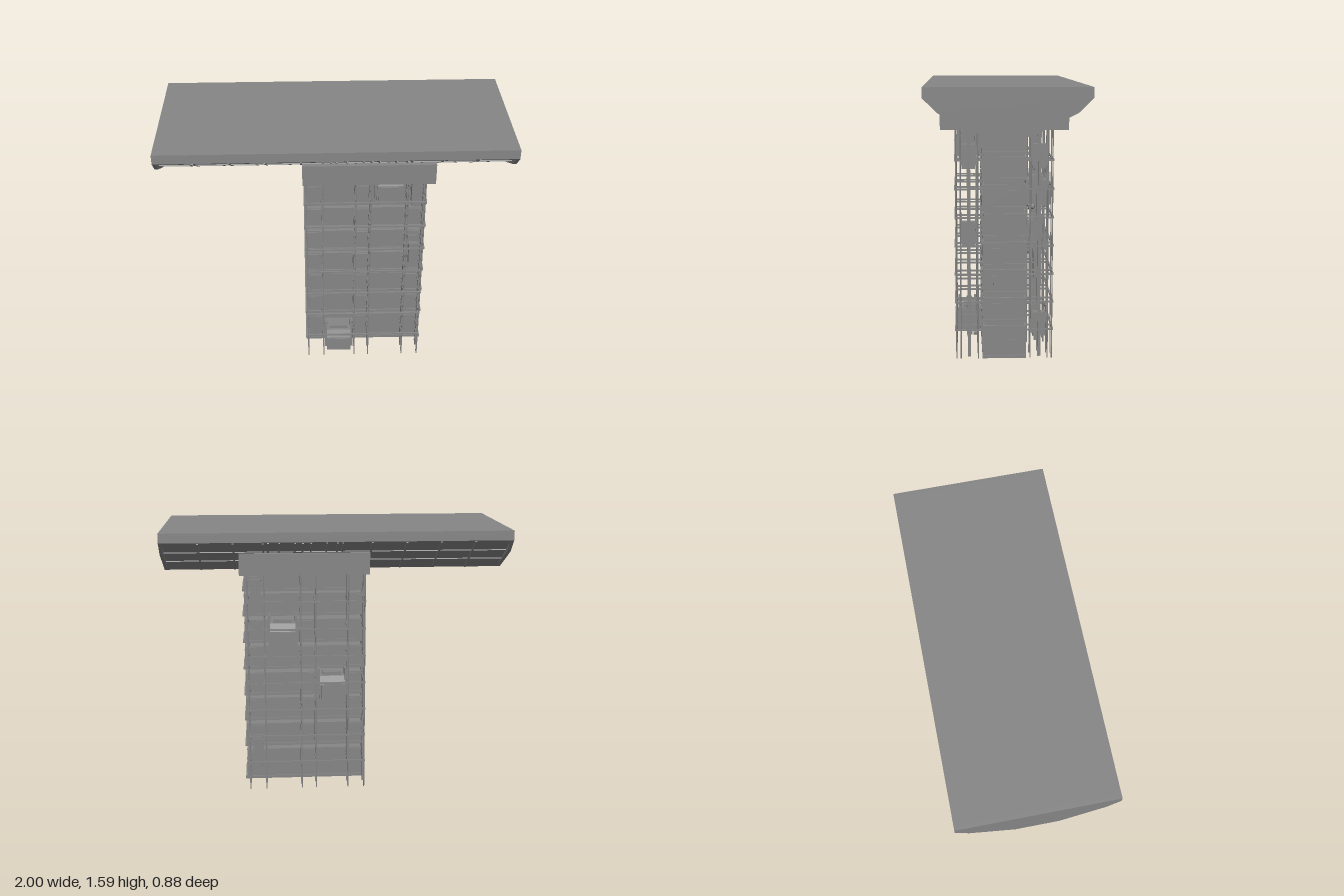
import * as THREE from 'three';

const mat = new THREE.MeshStandardMaterial({ color: 0x868686, flatShading: true });

function add(parent, name, geo, x = 0, y = 0, z = 0) {
  const m = new THREE.Mesh(geo, mat);
  m.name = name;
  m.position.set(x, y, z);
  parent.add(m);
  return m;
}

// Box given by its limits on each axis
function box(parent, name, x0, x1, y0, y1, z0, z1) {
  return add(parent, name, new THREE.BoxGeometry(x1 - x0, y1 - y0, Math.abs(z1 - z0)),
    (x0 + x1) / 2, (y0 + y1) / 2, (z0 + z1) / 2);
}

// Extrude a (z, y) profile along x
function extrudeX(parent, name, pts, x0, x1) {
  const shape = new THREE.Shape(pts.map(([z, y]) => new THREE.Vector2(-z, y)));
  const geo = new THREE.ExtrudeGeometry(shape, { depth: x1 - x0, bevelEnabled: false });
  geo.rotateY(Math.PI / 2);
  return add(parent, name, geo, x0, 0, 0);
}

// Strip laid on the sloping underside between two (z, y) points
function slopeStrip(parent, name, x0, x1, a, b) {
  const dz = b[0] - a[0], dy = b[1] - a[1];
  const m = add(parent, name, new THREE.BoxGeometry(x1 - x0, 0.012, Math.hypot(dz, dy)),
    (x0 + x1) / 2, (a[1] + b[1]) / 2, (a[0] + b[0]) / 2);
  m.rotation.x = -Math.atan2(dy, dz);
}

const mirrored = (half) => [...half, ...half.map(([z, y]) => [-z, y]).reverse()];

function buildDeck() {
  const g = new THREE.Group();
  g.name = 'deck';
  // slab with straight sloping undersides, closed by deeper end plates
  extrudeX(g, 'deckSlab', mirrored([[0.12, 1.33], [0.44, 1.53], [0.44, 1.585]]), -0.98, 0.98);
  const cap = mirrored([[0.12, 1.33], [0.365, 1.455], [0.44, 1.53], [0.44, 1.585]]);
  extrudeX(g, 'endPlate', cap, -1, -0.98);
  extrudeX(g, 'endPlate', cap, 0.98, 1);
  box(g, 'capital', -0.19, 0.56, 1.33, 1.455, -0.36, 0.36);
  for (const s of [1, -1]) {
    const at = (t) => [s * (0.12 + 0.32 * t), 1.33 + 0.2 * t];
    // ribs down the slopes
    for (let i = 1; i < 10; i++) {
      const x = -0.98 + i * 0.196;
      slopeStrip(g, 'rib', x - 0.005, x + 0.005, at(0.02), at(0.98));
    }
    for (let x = -0.03; x < 0.5; x += 0.09)
      slopeStrip(g, 'shortRib', x - 0.004, x + 0.004, at(0.66), at(0.98));
    // stringers along the slopes
    for (const t of [0.34, 0.66])
      slopeStrip(g, 'stringer', -0.98, 0.98, at(t - 0.013), at(t + 0.013));
  }
  return g;
}

function buildTower() {
  const g = new THREE.Group();
  g.name = 'tower';
  const floors = [[0.015, 0.2], [0.23, 0.365], [0.395, 0.53], [0.555, 0.69],
    [0.72, 0.855], [0.885, 1.02], [1.05, 1.18], [1.2, 1.33]];
  for (const [y0, y1] of floors) {
    box(g, 'storey', -0.18, 0.54, y0, y1, -0.117, 0.117);
    box(g, 'floorPlate', -0.188, 0.55, y0 - 0.006, y0 + 0.01, -0.126, 0.126);
    for (const s of [1, -1]) {
      // raised door frames on the long walls
      for (const [a, b] of [[-0.175, -0.08], [0.115, 0.205], [0.425, 0.53]]) {
        for (const x of [a, b]) box(g, 'frameJamb', x - 0.005, x + 0.005, y0, y1, s * 0.115, s * 0.126);
        box(g, 'frameHead', a, b, y1 - 0.016, y1 - 0.006, s * 0.115, s * 0.126);
      }
    }
    // handles and seams on the end walls
    for (const x of [0.54, -0.18]) {
      const strip = (name, a, b, z0, z1) => box(g, name, x - 0.003, x + 0.003, y0 + a, y0 + b, z0, z1);
      strip('endHandle', 0.048, 0.052, -0.022, 0.022);
      strip('endSeam', 0.03, 0.072, -0.002, 0.002);
      for (const s of [1, -1]) {
        strip('endHinge', 0.043, 0.057, s * 0.058, s * 0.061);
        strip('endRail', 0.098, 0.101, s * 0.02, s * 0.07);
      }
    }
  }
  // recessed end walls joining the storeys
  for (const x of [-0.17, 0.522]) box(g, 'endWall', x - 0.004, x + 0.004, 0.02, 1.33, -0.115, 0.115);
  return g;
}

// Guide frame on one long side; s is the side's sign in z
function buildShafts(s) {
  const g = new THREE.Group();
  g.name = s > 0 ? 'frontShafts' : 'backShafts';
  const xs = [-0.172, -0.075, 0.118, 0.205, 0.42, 0.518];
  const cable = new THREE.CylinderGeometry(0.0035, 0.0035, 1.33, 6);
  for (const x of xs) {
    for (const z of [0.15, 0.25, 0.275]) add(g, 'cable', cable, x, 0.665, s * z);
    box(g, 'guideRail', x - 0.006, x + 0.006, 0.012, 1.33, s * 0.192, s * 0.21);
  }
  for (let i = 0; i < 7; i++) {
    const y = 0.17 + i * 0.1645;
    box(g, 'outerBeam', -0.177, 0.523, y - 0.005, y + 0.005, s * 0.275, s * 0.284);
    for (const x of xs) box(g, 'crossBeam', x - 0.005, x + 0.005, y - 0.005, y + 0.005, s * 0.115, s * 0.284);
  }
  return g;
}

// Lift car with chamfered roof, door panel, rail brackets and rollers
function buildCar(x, y, s) {
  const g = new THREE.Group();
  g.name = 'liftCar';
  const pts = [[0.13, 0.02], [0.275, 0.02], [0.275, 0.12], [0.25, 0.165], [0.13, 0.165]];
  extrudeX(g, 'carBody', s > 0 ? pts : pts.map(([z, v]) => [-z, v]).reverse(), -0.075, 0.075);
  box(g, 'carDoor', -0.065, 0.065, 0.03, 0.115, s * 0.274, s * 0.282);
  box(g, 'carHood', -0.057, 0.057, 0.16, 0.185, s * 0.16, s * 0.235);
  for (const e of [-1, 1]) {
    const a = e * 0.079;
    box(g, 'carBracket', a - 0.007, a + 0.007, 0, 0.205, s * 0.18, s * 0.215);
    for (const z of [0.155, 0.255]) box(g, 'carArm', a - 0.005, a + 0.005, 0.05, 0.215, s * z, s * (z + 0.012));
    const roller = add(g, 'carRoller', new THREE.CylinderGeometry(0.02, 0.02, 0.03, 12), e * 0.062, 0.012, s * 0.16);
    roller.rotation.x = Math.PI / 2;
  }
  g.position.set(x, y, 0);
  return g;
}

// Narrow counterweight held between two upright arms
function buildCounterweight(x, y, s) {
  const g = new THREE.Group();
  g.name = 'counterweight';
  box(g, 'weightBlock', -0.025, 0.025, 0, 0.14, s * 0.165, s * 0.24);
  for (const z of [0.155, 0.24]) box(g, 'weightArm', -0.03, 0.03, 0.02, 0.185, s * z, s * (z + 0.01));
  g.position.set(x, y, 0);
  return g;
}

export function createModel() {
  const model = new THREE.Group();
  model.name = 'liftTower';
  model.add(buildDeck(), buildTower(), buildShafts(1), buildShafts(-1));
  for (const c of [[0.02, 0.02, 1], [0.312, 1.145, 1], [0.312, 0.86, -1], [0.02, 0.535, -1]])
    model.add(buildCar(...c));
  for (const [y, s] of [[0.66, 1], [1.105, 1], [0.125, -1], [1.105, -1]])
    model.add(buildCounterweight(0.47, y, s));
  return model;
}
